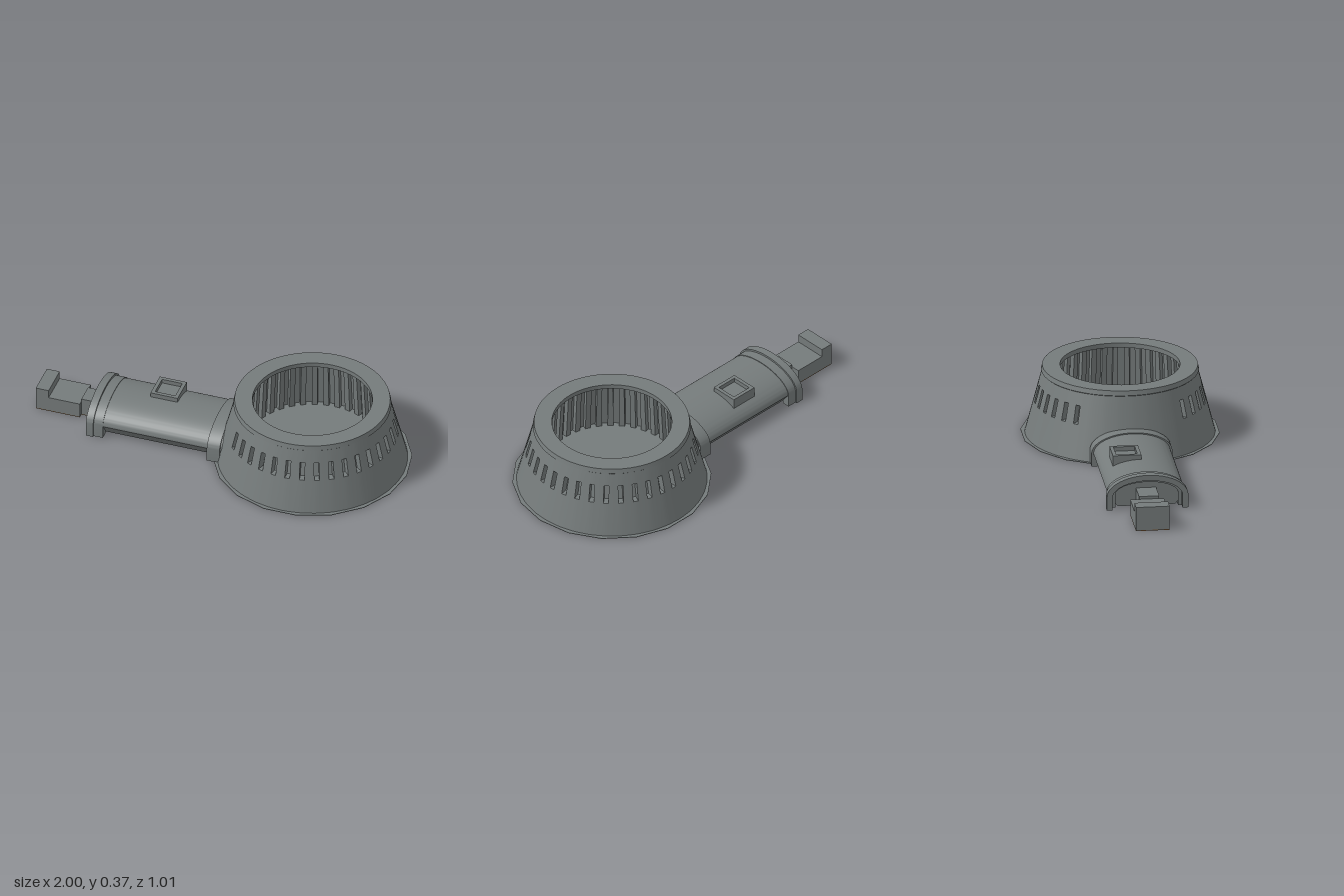
import * as THREE from 'three';
import { mergeVertices, toCreasedNormals } from 'three/addons/utils/BufferGeometryUtils.js';

const CX = 0.485; // centre of the round head

export function createModel() {
  const model = new THREE.Group();
  model.name = 'ringLamp';
  const mat = (name, color, side = THREE.FrontSide) => {
    const m = new THREE.MeshStandardMaterial({ color, side });
    m.name = name;
    return m;
  };
  const grey = mat('slateGrey', 0x757b7b, THREE.DoubleSide);
  const dark = mat('darkPanel', 0x2b2a21);
  const brown = mat('brownPlate', 0x7c5a38);

  const add = (name, geo, material = grey, x = 0, y = 0, z = 0) => {
    const m = new THREE.Mesh(geo, material);
    m.name = name;
    m.position.set(x, y, z);
    model.add(m);
    return m;
  };
  // box given by its limits
  const block = (name, x0, x1, y0, y1, z0, z1, material = grey) =>
    add(name, new THREE.BoxGeometry(x1 - x0, y1 - y0, z1 - z0), material,
      (x0 + x1) / 2, (y0 + y1) / 2, (z0 + z1) / 2);
  // section in the z/y plane swept from x0 to x1
  const sweep = (name, shape, x0, x1) => {
    const g = new THREE.ExtrudeGeometry(shape, { depth: x1 - x0, bevelEnabled: false, curveSegments: 24 });
    g.rotateY(Math.PI / 2);
    return add(name, toCreasedNormals(g, 0.5), grey, x0);
  };
  // flat shape laid on the ground plane and raised by depth
  const plate = (name, shape, depth, x, y, z) => {
    const g = new THREE.ExtrudeGeometry(shape, { depth, bevelEnabled: false, curveSegments: 32 });
    g.rotateX(-Math.PI / 2);
    return add(name, g, grey, x, y, z);
  };

  // round wall whose cells are pushed in or out by depth to form slots
  function slottedWall(radiusAt, rows, halfAngle, depth, inward, hasSlot) {
    const cols = [];
    for (let i = 0; i < 36; i++) {
      const t = THREE.MathUtils.degToRad(i * 10 - 2);
      const s = hasSlot(i * 10 - 2);
      cols.push([t - halfAngle, false], [t - halfAngle, s], [t + halfAngle, s], [t + halfAngle, false]);
    }
    const pos = [], idx = [], n = cols.length;
    for (const [y, rowCut] of rows) {
      for (const [t, colCut] of cols) {
        const r = radiusAt(y) + (rowCut && colCut ? depth : 0);
        pos.push(CX + r * Math.cos(t), y, r * Math.sin(t));
      }
    }
    for (let j = 0; j < rows.length - 1; j++) {
      for (let i = 0; i < n; i++) {
        const a = j * n + i, c = j * n + (i + 1) % n, b = a + n, d = c + n;
        if (inward) idx.push(a, c, b, c, d, b);
        else idx.push(a, b, c, c, b, d);
      }
    }
    let g = new THREE.BufferGeometry();
    g.setAttribute('position', new THREE.Float32BufferAttribute(pos, 3));
    g.setIndex(idx);
    g = mergeVertices(g);
    // drop collapsed triangles
    const src = g.index.array, keep = [];
    for (let i = 0; i < src.length; i += 3) {
      const [a, b, c] = [src[i], src[i + 1], src[i + 2]];
      if (a !== b && b !== c && a !== c) keep.push(a, b, c);
    }
    g.setIndex(keep);
    return toCreasedNormals(g, 0.5);
  }

  // head: outer cone with vents, ribbed inner wall
  add('headOuterWall', slottedWall(y => 0.493 - 0.262 * y,
    [[0, false], [0.18, false], [0.18, true], [0.275, true], [0.275, false], [0.35, false]],
    0.03, -0.04, false, deg => Math.abs(deg - 180) > 33));
  add('headInnerRibs', slottedWall(y => 0.345 - 0.06 * y,
    [[0.002, true], [0.35, true]], 0.045, 0.025, true, () => true));

  // top rim
  const rim = [[0.4, 0.338], [0.408, 0.345], [0.402, 0.37], [0.31, 0.37], [0.31, 0.345], [0.37, 0.345]]
    .map(([r, y]) => new THREE.Vector2(r, y));
  add('topRim', toCreasedNormals(new THREE.LatheGeometry(rim, 72), 0.4), grey, CX);

  // eighteen-sided base plate with round opening
  const base = new THREE.Shape();
  for (let i = 0; i < 18; i++) {
    const t = i * Math.PI / 9;
    base[i ? 'lineTo' : 'moveTo'](0.515 * Math.cos(t), 0.515 * Math.sin(t));
  }
  base.closePath();
  base.holes.push(new THREE.Path().absarc(0, 0, 0.34, 0, Math.PI * 2, true));
  plate('basePlate', base, 0.003, CX, 0, 0);

  // recessed floor inside the head
  add('headFloor', new THREE.CylinderGeometry(0.365, 0.365, 0.02, 48), grey, CX, 0.07, 0);
  block('floorStud', CX - 0.005, CX + 0.017, 0.08, 0.085, -0.012, 0.012);

  // handle: domed top, undercut sides, flat bottom
  const section = new THREE.Shape();
  section.moveTo(-0.15, 0.004);
  section.lineTo(0.15, 0.004);
  section.lineTo(0.2, 0.07);
  section.absellipse(0, 0.07, 0.2, 0.1, 0, Math.PI, false);
  section.closePath();
  sweep('handle', section, -0.63, 0.1);
  block('handleUndersidePanel', -0.49, -0.15, 0, 0.006, -0.105, 0.105, dark);

  // arched collars at both ends of the handle
  const arch = (w, h, t) => {
    const s = new THREE.Shape();
    s.moveTo(w, 0);
    s.lineTo(w, 0.07);
    s.absellipse(0, 0.07, w, h - 0.07, 0, Math.PI, false);
    s.lineTo(-w, 0);
    s.lineTo(t - w, 0);
    s.lineTo(t - w, 0.07);
    s.absellipse(0, 0.07, w - t, h - 0.07 - t, Math.PI, 0, true);
    s.lineTo(w - t, 0);
    s.closePath();
    return s;
  };
  sweep('endCollar', arch(0.212, 0.185, 0.03), -0.68, -0.64);
  sweep('endCollarInner', arch(0.203, 0.174, 0.04), -0.64, -0.59);
  sweep('headCollar', arch(0.21, 0.176, 0.03), -0.02, 0.05);

  // square button frame on the handle
  const frame = new THREE.Shape();
  const square = (p, h) => p.moveTo(-h, -h).lineTo(h, -h).lineTo(h, h).lineTo(-h, h).closePath();
  square(frame, 0.074);
  const opening = new THREE.Path();
  square(opening, 0.055);
  frame.holes.push(opening);
  plate('buttonFrame', frame, 0.075, -0.325, 0.12, -0.072);
  block('button', -0.38, -0.27, 0.13, 0.172, -0.127, -0.017);

  // plug at the end of the handle
  block('plugNeck', -0.76, -0.62, 0.004, 0.1, -0.055, 0.05);
  block('plugBody', -1, -0.76, 0.004, 0.085, -0.1, 0.075);
  block('plugTip', -1, -0.93, 0.085, 0.13, -0.1, 0.075);
  block('plugBottomPlate', -1, -0.76, 0, 0.004, -0.1, 0.075, brown);
  block('neckBottomPlate', -0.76, -0.63, 0, 0.004, -0.055, 0.05, brown);

  return model;
}
